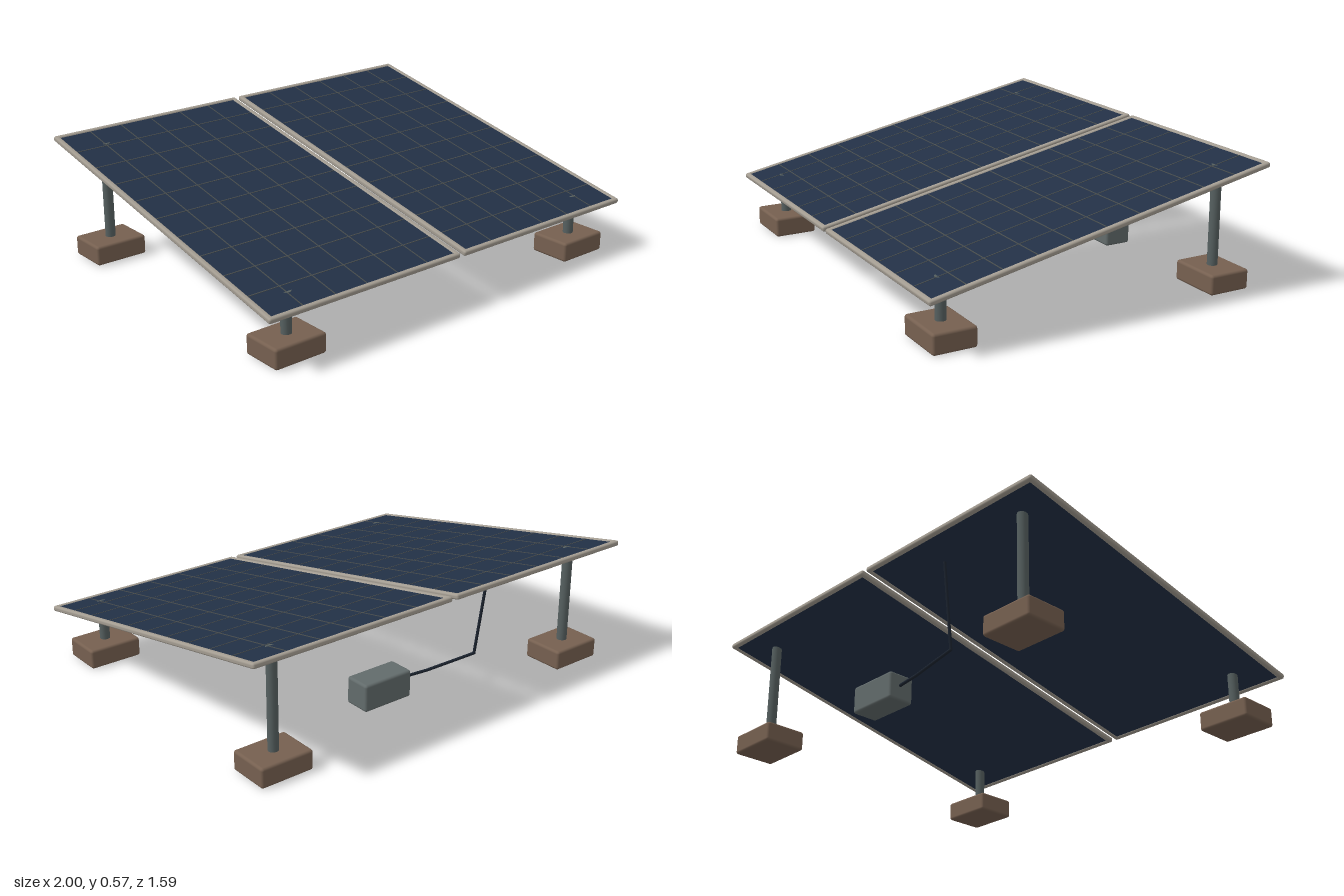
import * as THREE from 'three';
import { RoundedBoxGeometry } from 'three/addons/geometries/RoundedBoxGeometry.js';

const mat = (name, color) => {
  const m = new THREE.MeshStandardMaterial({ color });
  m.name = name;
  return m;
};

export function createModel() {
  const glass = mat('navy glass', 0x223046);
  const metal = mat('pale frame metal', 0xa39c91);
  const seam = mat('cell seam grey', 0x474c4c);
  const steel = mat('post steel', 0x566060);
  const brown = mat('footing brown', 0x766050);
  const grey = mat('box grey', 0x626b6b);
  const black = mat('cable dark', 0x1c2430);

  const model = new THREE.Group();
  model.name = 'solarArray';

  const add = (parent, name, geometry, material, x, y, z) => {
    const mesh = new THREE.Mesh(geometry, material);
    mesh.name = name;
    mesh.position.set(x, y, z);
    parent.add(mesh);
    return mesh;
  };
  const rounded = (w, h, d, r) => new RoundedBoxGeometry(w, h, d, 3, r);

  // Tilted pair of panels
  const tilt = 0.2, centreY = 0.398;
  const W = 0.988, L = 1.62, rail = 0.024;
  const tilted = new THREE.Group();
  tilted.name = 'tiltedPanels';
  tilted.position.y = centreY;
  tilted.rotation.x = tilt;
  model.add(tilted);

  for (const side of [-1, 1]) {
    const panel = new THREE.Group();
    panel.name = side < 0 ? 'rightPanel' : 'leftPanel';
    panel.position.x = side * (1 - W / 2);
    tilted.add(panel);

    add(panel, 'glassSheet', new THREE.BoxGeometry(W - rail, 0.014, L - rail), glass, 0, 0, 0);

    // Frame rails
    for (const s of [-1, 1]) {
      add(panel, 'sideRail', rounded(rail, rail, L, 0.009), metal, s * (W - rail) / 2, 0, 0);
      add(panel, 'endRail', rounded(W, rail, rail, 0.009), metal, 0, 0, s * (L - rail) / 2);
    }

    // Seams between the 6 x 10 cells
    const innerW = W - 2 * rail, innerL = L - 2 * rail;
    for (let i = 1; i < 6; i++)
      add(panel, 'cellSeamLong', new THREE.BoxGeometry(0.005, 0.002, innerL), seam,
        (i / 6 - 0.5) * (W - rail), 0.0075, 0);
    for (let j = 1; j < 10; j++)
      add(panel, 'cellSeamCross', new THREE.BoxGeometry(innerW, 0.002, 0.005), seam,
        0, 0.0075, (j / 10 - 0.5) * (L - rail));
  }

  // Posts on block footings
  for (const x of [-0.82, 0.82]) {
    for (const z of [-0.657, 0.657]) {
      const top = centreY - z * Math.tan(tilt) + 0.005;
      add(model, 'post', new THREE.CylinderGeometry(0.023, 0.023, top - 0.05, 16), steel,
        x, (top + 0.05) / 2, z);
      add(model, 'footing', rounded(0.25, 0.09, 0.195, 0.012), brown, x, 0.045, z);
    }
  }

  // Control box
  add(model, 'controlBox', rounded(0.25, 0.125, 0.125, 0.012), grey, 0.17, 0.108, -0.529);

  // Cable from panel underside to box
  const path = [[-0.34, 0.522, -0.636], [-0.33, 0.135, -0.585], [-0.08, 0.116, -0.553], [0.06, 0.115, -0.535]]
    .map(p => new THREE.Vector3(...p));
  const r = 0.007, up = new THREE.Vector3(0, 1, 0);
  for (let i = 0; i < path.length - 1; i++) {
    const dir = path[i + 1].clone().sub(path[i]);
    const mid = path[i].clone().addScaledVector(dir, 0.5);
    const piece = add(model, 'cable', new THREE.CylinderGeometry(r, r, dir.length(), 8), black, mid.x, mid.y, mid.z);
    piece.quaternion.setFromUnitVectors(up, dir.normalize());
    if (i) add(model, 'cableBend', new THREE.SphereGeometry(r, 8, 6), black, path[i].x, path[i].y, path[i].z);
  }

  return model;
}
